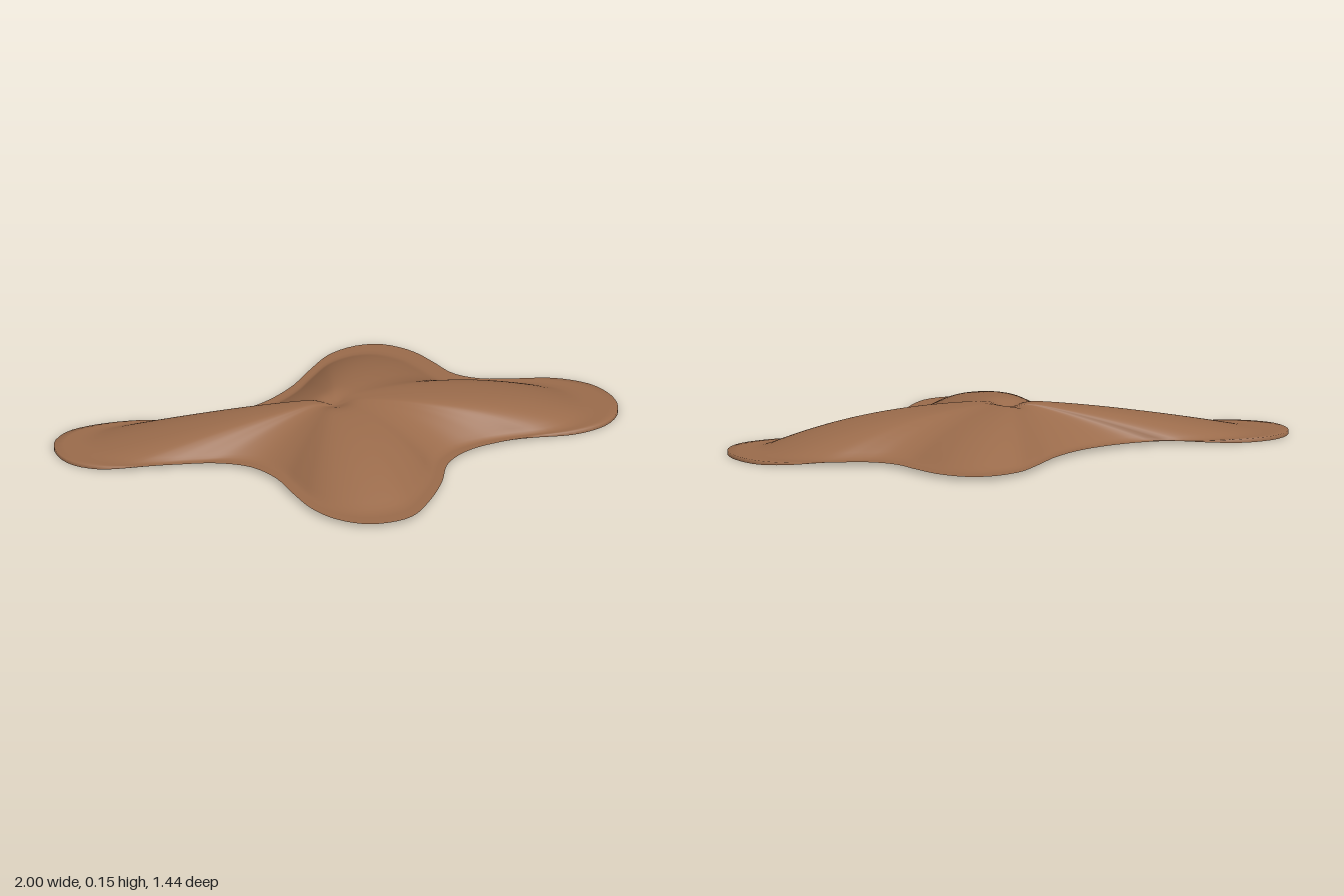
import * as THREE from 'three';

// Outline of the four-lobed sheet as x, z pairs, starting at the back lobe
const OUTLINE = [
  0.09, -0.72, 0.2, -0.68, 0.29, -0.6, 0.37, -0.52, 0.47, -0.49, 0.6, -0.505, 0.74, -0.525,
  0.88, -0.49, 0.97, -0.4, 1, -0.3, 0.97, -0.2, 0.88, -0.12, 0.72, -0.05, 0.62, 0,
  0.5, 0.09, 0.44, 0.2, 0.435, 0.35, 0.41, 0.5, 0.36, 0.64, 0.28, 0.7, 0.19, 0.72,
  0.08, 0.69, -0.01, 0.62, -0.09, 0.51, -0.17, 0.39, -0.27, 0.315, -0.4, 0.3, -0.55, 0.33,
  -0.7, 0.365, -0.82, 0.375, -0.94, 0.33, -1, 0.22, -0.97, 0.12, -0.88, 0.05, -0.72, -0.01,
  -0.55, -0.03, -0.42, -0.09, -0.29, -0.2, -0.2, -0.34, -0.15, -0.48, -0.09, -0.62, 0, -0.7,
];
const SEGMENTS = 168;
const RINGS = 28;
const EDGE_Y = 0.015;

// Height of the sheet: a low mound with a flat margin and a small central pinch
function heightAt(s, x, z) {
  const r = Math.hypot(x, z);
  const t = Math.min(1, s / 0.88);
  const fullness = 1.9 + (r > 0 ? (0.6 * x) / r : 0);
  const pinch = 0.025 * Math.exp(-((r / 0.05) ** 2));
  return EDGE_Y + 0.135 * (1 - t ** fullness) - pinch;
}

function sheetGeometry() {
  const points = [];
  for (let i = 0; i < OUTLINE.length; i += 2) {
    points.push(new THREE.Vector3(OUTLINE[i], 0, OUTLINE[i + 1]));
  }
  const curve = new THREE.CatmullRomCurve3(points, true, 'centripetal');
  const edge = curve.getSpacedPoints(SEGMENTS).slice(0, SEGMENTS);

  // Concentric rings shrinking to the middle, then a rim turned down at the long lobes
  const position = [0, heightAt(0, 0, 0), 0];
  const index = [];
  for (let k = 1; k <= RINGS + 1; k++) {
    const s = Math.min(1, k / RINGS);
    for (const p of edge) {
      const x = p.x * s, z = p.z * s;
      const drop = k > RINGS ? EDGE_Y * THREE.MathUtils.smoothstep(Math.abs(x), 0.6, 0.9) : 0;
      position.push(x, heightAt(s, x, z) - drop, z);
    }
  }
  for (let i = 0; i < SEGMENTS; i++) {
    const j = (i + 1) % SEGMENTS;
    index.push(0, 1 + j, 1 + i);
    for (let k = 0; k < RINGS; k++) {
      const a = 1 + k * SEGMENTS, b = a + SEGMENTS;
      index.push(a + i, a + j, b + j, a + i, b + j, b + i);
    }
  }
  const geometry = new THREE.BufferGeometry();
  geometry.setAttribute('position', new THREE.Float32BufferAttribute(position, 3));
  geometry.setIndex(index);
  geometry.computeVertexNormals();
  return geometry;
}

export function createModel() {
  const group = new THREE.Group();
  group.name = 'lobedMound';
  const brown = new THREE.MeshStandardMaterial({ color: 0x9a6b4b, side: THREE.DoubleSide });
  brown.name = 'brown';
  const sheet = new THREE.Mesh(sheetGeometry(), brown);
  sheet.name = 'moundSheet';
  group.add(sheet);
  return group;
}
